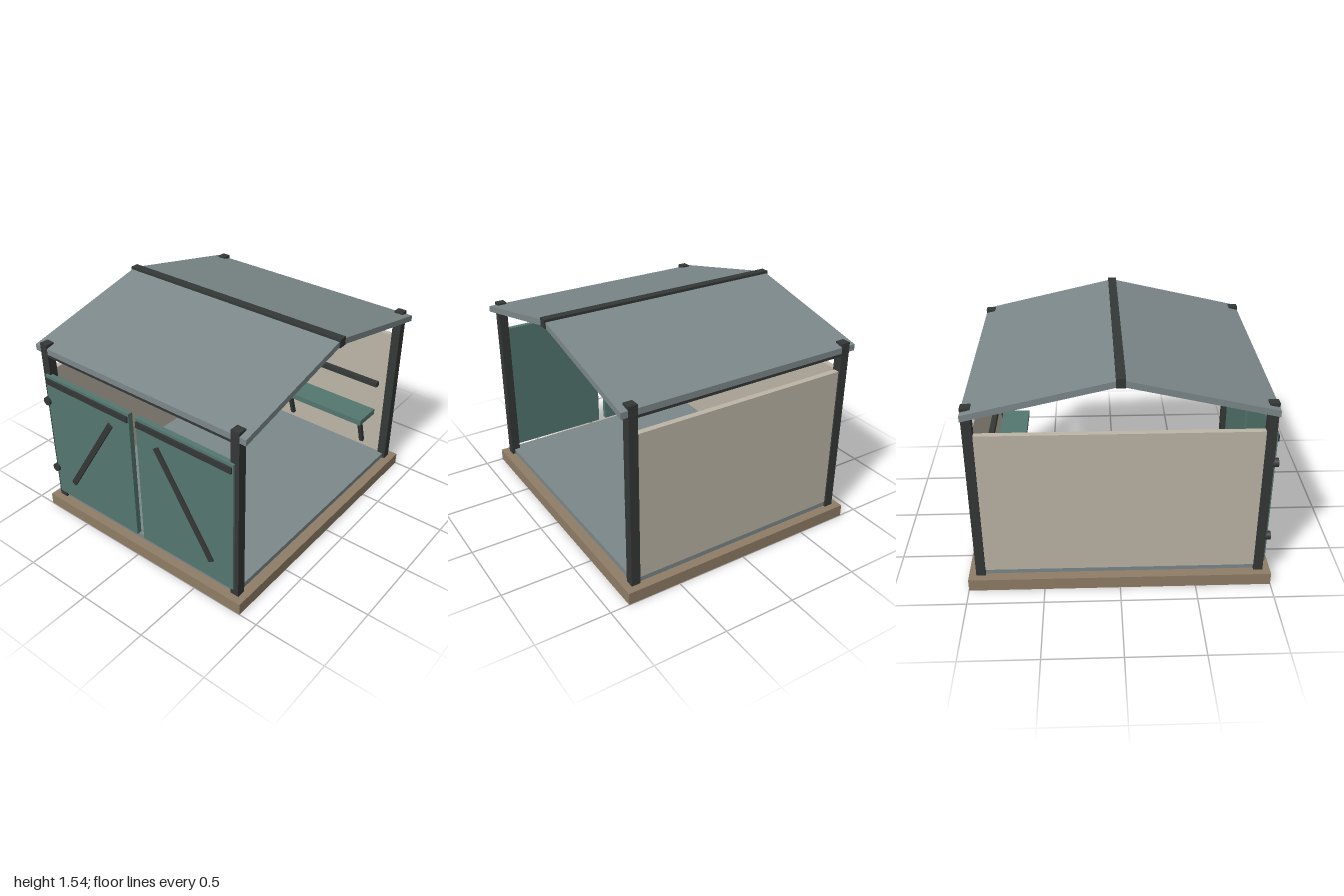
import * as THREE from 'three';

const material = (color) => new THREE.MeshStandardMaterial({ color });
const timber = material(0x8f7d66);
const slate = material(0x7c888a);
const steel = material(0x343836);
const wallPaint = material(0xbcb5a7);
const teal = material(0x54776f);

export function createModel() {
  const model = new THREE.Group();
  model.name = 'openSidedShed';

  // Box given by its minimum and maximum corners
  const box = (name, mat, [x0, y0, z0], [x1, y1, z1], parent = model) => {
    const mesh = new THREE.Mesh(new THREE.BoxGeometry(x1 - x0, y1 - y0, z1 - z0), mat);
    mesh.position.set((x0 + x1) / 2, (y0 + y1) / 2, (z0 + z1) / 2);
    mesh.name = name;
    parent.add(mesh);
    return mesh;
  };

  // Bar between two points, square to the x axis or lying in the xy plane
  const bar = (name, mat, a, b, width, depth, parent = model) => {
    const start = new THREE.Vector3(...a);
    const end = new THREE.Vector3(...b);
    const mesh = new THREE.Mesh(new THREE.BoxGeometry(width, start.distanceTo(end), depth), mat);
    mesh.position.copy(start).add(end).multiplyScalar(0.5);
    mesh.quaternion.setFromUnitVectors(new THREE.Vector3(0, 1, 0), end.sub(start).normalize());
    mesh.name = name;
    parent.add(mesh);
    return mesh;
  };

  // Sloped band in the zy plane, extruded along x
  const slopedBand = (name, mat, side, topApex, topEave, thick, zEave, xCentre, width) => {
    const shape = new THREE.Shape([
      [0, topApex], [zEave * side, topEave],
      [zEave * side, topEave - thick], [0, topApex - thick],
    ].map(([z, y]) => new THREE.Vector2(-z, y)));
    const geometry = new THREE.ExtrudeGeometry(shape, { depth: width, bevelEnabled: false });
    geometry.translate(0, 0, -width / 2).rotateY(Math.PI / 2);
    const mesh = new THREE.Mesh(geometry, mat);
    mesh.position.x = xCentre;
    mesh.name = name;
    model.add(mesh);
  };

  // Foundation and floor
  box('foundation', timber, [-0.87, 0, -1], [0.87, 0.085, 1]);
  box('floor', slate, [-0.8, 0.085, -0.935], [0.8, 0.122, 0.935]);

  // Closed back and one closed side
  box('backWall', wallPaint, [-0.79, 0.122, -0.94], [0.79, 1.14, -0.9]);
  box('sideWall', wallPaint, [-0.81, 0.122, -0.92], [-0.77, 1.14, 0.9]);

  // Corner posts, eave beams, roof slopes and end rafters
  for (const side of [-1, 1]) {
    const z = 0.92 * side;
    for (const x of [-0.79, 0.79]) {
      box('cornerPost', steel, [x - 0.031, 0.085, z - 0.031], [x + 0.031, 1.337, z + 0.031]);
      slopedBand('rafter', steel, side, 1.5, 1.283, 0.027, 0.9, x, 0.05);
    }
    box('eaveBeam', steel, [-0.79, 1.25, z - 0.028], [0.79, 1.308, z + 0.028]);
    slopedBand('roofSlope', slate, side, 1.53, 1.312, 0.042, 0.95, 0, 1.735);
  }
  box('ridgeBeam', steel, [-0.876, 1.482, -0.029], [0.876, 1.541, 0.029]);

  // Pair of mirrored doors with top rail and diagonal brace
  for (const side of [-1, 1]) {
    const door = new THREE.Group();
    door.name = side < 0 ? 'rightDoor' : 'leftDoor';
    const span = (a, b) => (side < 0 ? [-b, -a] : [a, b]);
    const [p0, p1] = span(0.03, 0.792);
    box('doorPanel', teal, [p0, 0.14, 0.93], [p1, 1.115, 0.966], door);
    const [r0, r1] = span(0.037, 0.783);
    box('doorTopRail', steel, [r0, 1.052, 0.96], [r1, 1.095, 0.978], door);
    bar('doorBrace', steel, [0.195 * side, 0.966, 0.97], [0.625 * side, 0.287, 0.97], 0.04, 0.02, door);
    model.add(door);
  }

  // Round hinges on one front post
  for (const y of [0.35, 0.91]) {
    const hinge = new THREE.Mesh(new THREE.CylinderGeometry(0.03, 0.03, 0.04, 16), steel);
    hinge.rotation.x = Math.PI / 2;
    hinge.position.set(-0.795, y, 0.963);
    hinge.name = 'hinge';
    model.add(hinge);
  }

  // Bench with raked legs, and the rail on the back wall
  box('benchSeat', teal, [-0.035, 0.457, -0.875], [0.7, 0.5, -0.67]);
  for (const x of [0, 0.64]) {
    bar('benchLeg', steel, [x, 0.47, -0.757], [x, 0.212, -0.835], 0.03, 0.026);
  }
  box('wallRail', steel, [-0.7, 0.697, -0.9], [0.7, 0.733, -0.862]);

  return model;
}
